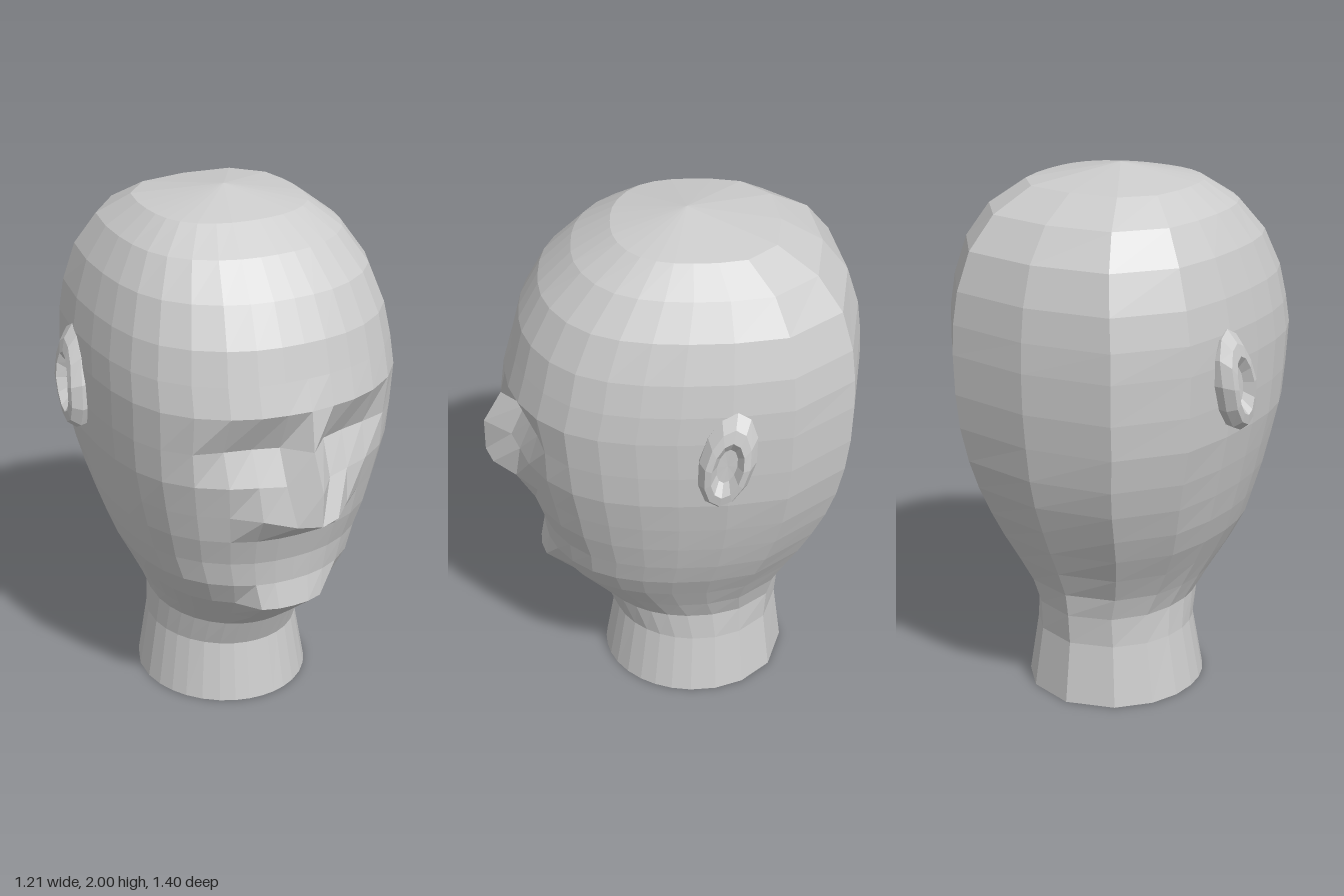
import * as THREE from 'three';

const skin = new THREE.MeshStandardMaterial({ color: 0xcccccc, flatShading: true, side: THREE.DoubleSide });
skin.name = 'plain grey';

// Half outline of the skull from the front middle, round the left side, to the back middle
const outline = [
  [0, 1], [0.16, 0.995], [0.33, 0.97], [0.51, 0.91], [0.7, 0.8], [0.85, 0.65], [0.94, 0.47],
  [0.985, 0.27], [1, 0.05], [0.99, -0.23], [0.925, -0.57], [0.6, -0.92], [0, -1],
];

// Level: height, half width, front z, back z, roundness (1 = ellipse)
const levels = [
  [0, 0.33, 0.26, -0.45, 1],
  [0.235, 0.29, 0.22, -0.42, 1],
  [0.35, 0.285, 0.27, -0.43, 0.9],
  [0.44, 0.325, 0.35, -0.445, 0.7],
  [0.54, 0.375, 0.44, -0.49, 0.5],
  [0.64, 0.425, 0.485, -0.54, 0.4],
  [0.74, 0.46, 0.495, -0.585, 0.3],
  [0.85, 0.49, 0.53, -0.63, 0.2],
  [0.96, 0.515, 0.55, -0.66, 0.1],
  [1.09, 0.54, 0.575, -0.68, 0],
  [1.22, 0.55, 0.59, -0.695, 0],
  [1.37, 0.555, 0.605, -0.7, 0],
  [1.48, 0.55, 0.575, -0.695, 0],
  [1.6, 0.53, 0.545, -0.68, 0],
  [1.74, 0.485, 0.47, -0.635, 0],
  [1.86, 0.41, 0.35, -0.54, 0],
  [1.945, 0.3, 0.21, -0.39, 0],
];

// Forward shifts of the columns beside the face's middle line, keyed by level
const features = {
  3: [0.035, 0.035, 0.03],              // under the chin
  4: [0.065, 0.065, 0.06],              // chin
  8: [0.15, 0.12, 0.045],               // nose base
  9: [0.125, 0.02, 0],                  // nose tip
  10: [0.04, -0.05, -0.065, -0.05, -0.01], // bridge and eye sockets
  11: [0.005],                          // brow
};

// Joins closed rings of points into a skin, ending in a single tip point
function loft(rings, tip) {
  const n = rings[0].length;
  const index = [];
  for (let j = 0; j < rings.length; j++) {
    for (let i = 0; i < n; i++) {
      const k = (i + 1) % n, a = j * n + i, b = j * n + k;
      if (j < rings.length - 1) index.push(a, b, b + n, a, b + n, a + n);
      else index.push(a, b, rings.length * n);
    }
  }
  const geometry = new THREE.BufferGeometry();
  geometry.setAttribute('position', new THREE.Float32BufferAttribute([...rings.flat(), tip].flat(), 3));
  geometry.setIndex(index);
  const flat = geometry.toNonIndexed();
  flat.computeVertexNormals();
  return flat;
}

function headRing([y, width, front, back, round], level) {
  const middle = (front + back) / 2, depth = (front - back) / 2;
  const half = outline.map(([u, v], i) => {
    const scale = 1 + (1 / Math.hypot(u, v) - 1) * round;
    const shift = features[level]?.[i] ?? 0;
    return [u * scale * width, y, middle + v * scale * depth + shift];
  });
  const mirrored = half.slice(1, -1).reverse().map(([x, yy, z]) => [-x, yy, z]);
  return [...half, ...mirrored];
}

// Ear: an oval rim around a shallow hollow, leaning back towards its top
function earGeometry(side) {
  // x, half depth, half height, centre height, inward lean
  const steps = [
    [0.53, 0.1, 0.185, 1.305, 0],
    [0.565, 0.1, 0.193, 1.305, 0.04],
    [0.6, 0.078, 0.155, 1.295, 0.05],
    [0.605, 0.055, 0.112, 1.29, 0.05],
    [0.57, 0.035, 0.07, 1.29, 0.03],
  ];
  const n = 12;
  const rings = steps.map(([x, depth, height, cy, lean]) => Array.from({ length: n }, (_, i) => {
    const a = -side * (i / n) * Math.PI * 2;
    const y = cy + Math.cos(a) * height;
    const z = -0.19 - 0.17 * (y - 1.3) + Math.sin(a) * depth;
    return [side * (x - lean * Math.max(0, y - 1.3) * 3), y, z];
  }));
  return loft(rings, [side * 0.565, 1.29, -0.19]);
}

export function createModel() {
  const model = new THREE.Group();
  model.name = 'mannequinHead';
  const add = (name, geometry) => {
    const mesh = new THREE.Mesh(geometry, skin);
    mesh.name = name;
    model.add(mesh);
  };
  add('headAndNeck', loft(levels.map(headRing), [0, 2, -0.06]));
  add('leftEar', earGeometry(1));
  add('rightEar', earGeometry(-1));
  return model;
}
